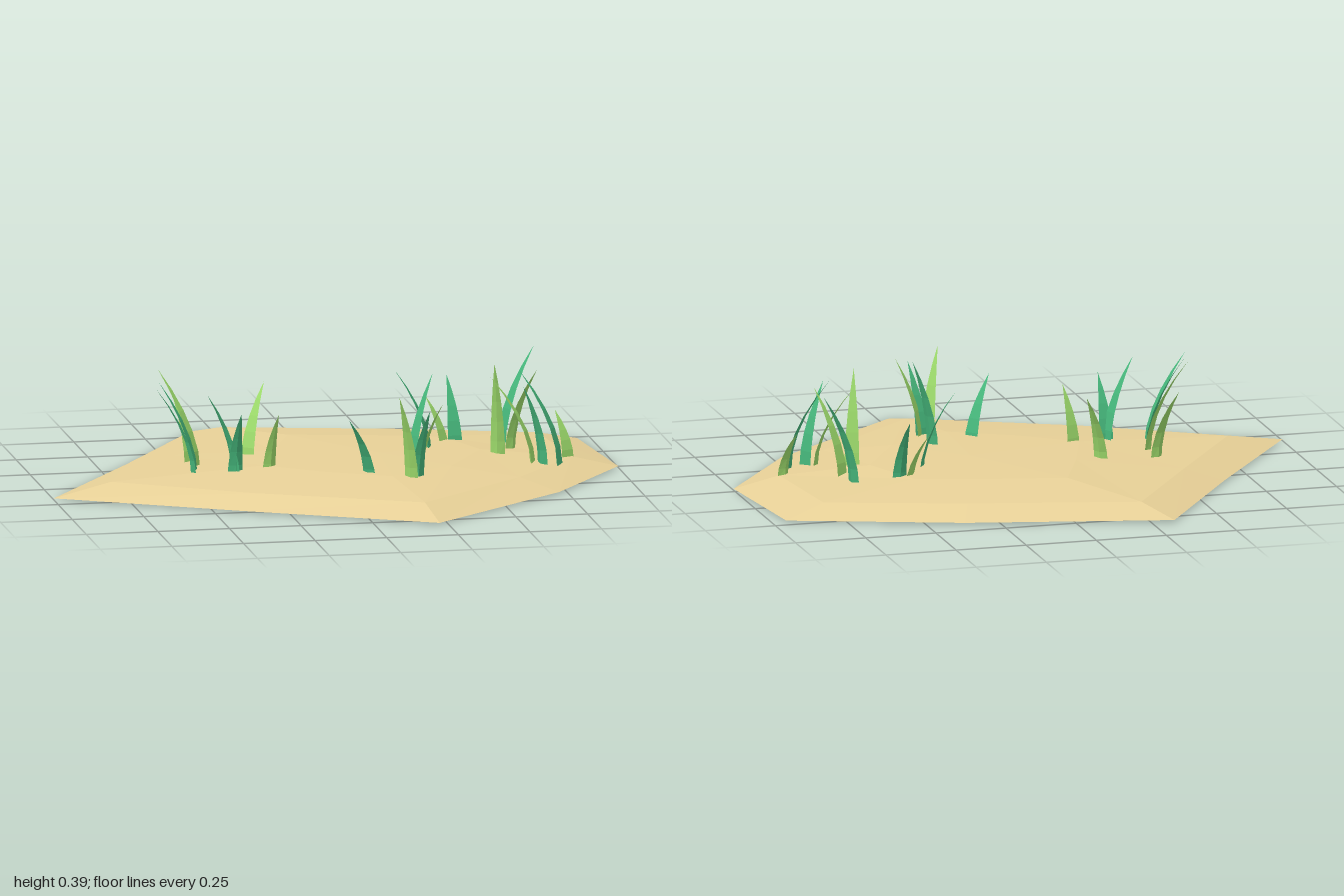
import * as THREE from 'three';

const mat = (name, color) => Object.assign(new THREE.MeshStandardMaterial({ color }), { name });

// Flat-shaded geometry from points and triangle indices
function facets(points, index) {
  const geo = new THREE.BufferGeometry();
  geo.setAttribute('position', new THREE.Float32BufferAttribute(points.flat(), 3));
  geo.setIndex(index);
  const flat = geo.toNonIndexed();
  flat.computeVertexNormals();
  return flat;
}

// Low mound: stacked rings from the underside to the crown
function moundGeometry() {
  const rim = [[-1, 0.17], [-0.65, -0.33], [-0.33, -0.82], [0.37, -0.66], [0.95, -0.46],
    [1, 0.02], [0.72, 0.4], [0.22, 0.82], [-0.4, 0.5]];
  const shoulder = [[-0.79, 0.12], [-0.52, -0.28], [-0.25, -0.69], [0.33, -0.55], [0.8, -0.4],
    [0.84, 0.01], [0.6, 0.31], [0.2, 0.66], [-0.34, 0.4]];
  const crown = [[-0.25, 0.08], [-0.17, -0.16], [-0.07, -0.4], [0.2, -0.34], [0.44, -0.27],
    [0.53, -0.04], [0.38, 0.21], [0.15, 0.34], [-0.07, 0.22]];
  const n = rim.length;
  const ring = (pts, y, k = 1) => pts.map(([x, z]) => [x * k, y, z * k]);
  const points = [...ring(rim, 0, 0.8), ...ring(rim, 0.005), ...ring(shoulder, 0.044), ...ring(crown, 0.071),
    [0, 0, 0], [0.17, 0.077, -0.03]];
  const index = [];
  for (let i = 0; i < n; i++) {
    const j = (i + 1) % n;
    for (let r = 0; r < 3; r++) {
      const a = r * n + i, b = r * n + j;
      index.push(b, a, a + n, b, a + n, b + n);
    }
    index.push(i, j, 4 * n);
    index.push(3 * n + j, 3 * n + i, 4 * n + 1);
  }
  return facets(points, index);
}

// Curved blade with a triangular section, tapering to a point
function bladeGeometry(x, z, tipX, tipZ, height) {
  const dx = tipX - x, dz = tipZ - z, len = Math.hypot(dx, dz);
  const ox = dx / len, oz = dz / len, base = 0.035, steps = 5;
  const points = [], index = [];
  for (let s = 0; s < steps; s++) {
    const t = s / steps, lean = Math.pow(t, 1.8);
    const w = 0.026 * (1 - Math.pow(t, 1.9)), d = 0.012 * (1 - t);
    const cx = x - ox * 0.01 + (dx + ox * 0.01) * lean, cz = z - oz * 0.01 + (dz + oz * 0.01) * lean;
    const y = base + (height - base) * t;
    points.push([cx - oz * w, y, cz + ox * w], [cx + ox * d, y, cz + oz * d], [cx + oz * w, y, cz - ox * w]);
    for (let i = 0; i < 3; i++) {
      const a = s * 3 + i, b = s * 3 + (i + 1) % 3;
      if (s < steps - 1) index.push(a, b, b + 3, a, b + 3, a + 3);
      else index.push(a, b, steps * 3);
    }
  }
  points.push([tipX, height, tipZ]);
  return facets(points, index);
}

export function createModel() {
  const group = new THREE.Group();
  group.name = 'grassyMound';
  const sand = mat('sand', 0xe7d097);
  const greens = { teal: mat('tealGreen', 0x45b57a), leaf: mat('leafGreen', 0x9cda6b) };

  const mound = new THREE.Mesh(moundGeometry(), sand);
  mound.name = 'sandMound';
  group.add(mound);

  // Blades: base x, z, tip x, z, tip height
  const blades = {
    teal: [[-0.49, 0.05, -0.6, 0, 0.36], [-0.5, 0.08, -0.63, 0.09, 0.36], [-0.36, 0.11, -0.46, 0.15, 0.34],
      [0.08, 0.26, 0, 0.33, 0.27], [0.25, 0.18, 0.33, 0.13, 0.38], [0.36, -0.1, 0.25, -0.14, 0.34],
      [0.77, 0.11, 0.65, 0.04, 0.36], [-0.355, 0.12, -0.35, 0.2, 0.28], [0.24, 0.34, 0.265, 0.42, 0.31],
      [0.475, -0.22, 0.465, -0.31, 0.28], [0.64, -0.2, 0.76, -0.26, 0.38], [0.71, 0.12, 0.64, 0.16, 0.33]],
    leaf: [[-0.47, -0.13, -0.52, -0.22, 0.3], [-0.47, -0.03, -0.58, -0.12, 0.38], [-0.26, -0.14, -0.19, -0.22, 0.3],
      [0.21, 0.35, 0.16, 0.41, 0.36], [0.43, -0.21, 0.38, -0.26, 0.22], [0.68, 0.1, 0.55, 0.04, 0.34],
      [0.82, 0.01, 0.79, -0.04, 0.2], [-0.23, 0.1, -0.21, 0.15, 0.26], [0.25, 0.33, 0.32, 0.38, 0.33],
      [0.65, -0.09, 0.72, 0, 0.35], [0.58, 0.01, 0.56, 0.06, 0.39]],
  };
  const grass = new THREE.Group();
  grass.name = 'grass';
  for (const [tone, list] of Object.entries(blades)) {
    for (const b of list) {
      const blade = new THREE.Mesh(bladeGeometry(...b), greens[tone]);
      blade.name = tone + 'GrassBlade';
      grass.add(blade);
    }
  }
  group.add(grass);
  return group;
}
